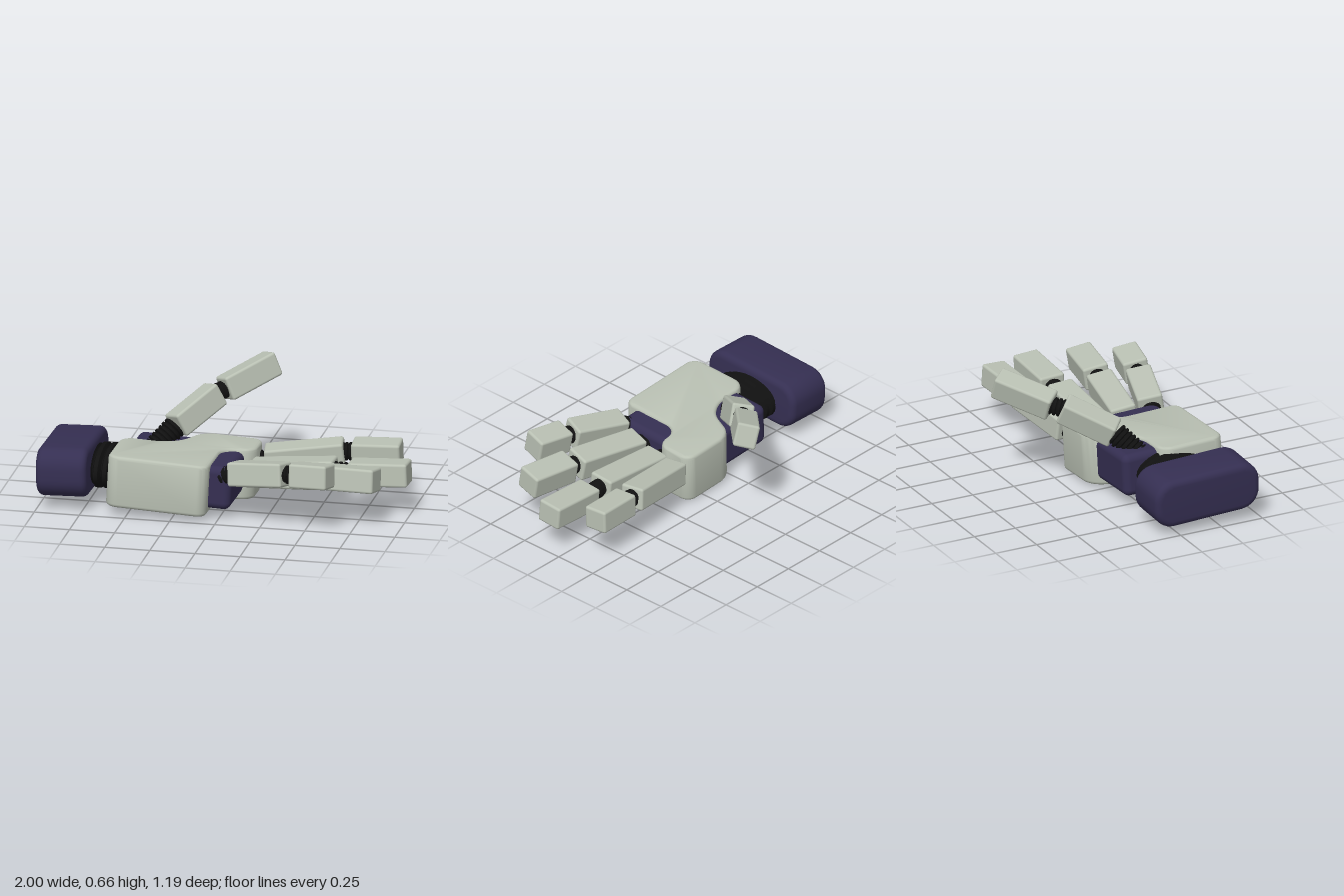
import * as THREE from 'three';
import { toCreasedNormals } from 'three/addons/utils/BufferGeometryUtils.js';
import { RoundedBoxGeometry } from 'three/addons/geometries/RoundedBoxGeometry.js';

const shell = new THREE.MeshStandardMaterial({ color: 0xb9c0b3 });
const navy = new THREE.MeshStandardMaterial({ color: 0x352f52 });
const rubber = new THREE.MeshStandardMaterial({ color: 0x111111, side: THREE.DoubleSide });

const V = (p) => new THREE.Vector3(...p);

function add(parent, name, geometry, material) {
  const mesh = new THREE.Mesh(geometry, material);
  mesh.name = name;
  parent.add(mesh);
  return mesh;
}

// Closed outline with rounded corners; each point is [x, y, radius]
function roundedOutline(points) {
  const shape = new THREE.Shape();
  const n = points.length;
  points.forEach(([x, y, r], i) => {
    const towards = ([px, py]) => {
      const d = Math.hypot(px - x, py - y);
      return [x + ((px - x) * r) / d, y + ((py - y) * r) / d];
    };
    const a = towards(points[(i + n - 1) % n]);
    const b = towards(points[(i + 1) % n]);
    if (i === 0) shape.moveTo(...a);
    else shape.lineTo(...a);
    // Cubic handles approximate a circular corner
    const k = 0.55;
    shape.bezierCurveTo(
      a[0] + (x - a[0]) * k, a[1] + (y - a[1]) * k,
      b[0] + (x - b[0]) * k, b[1] + (y - b[1]) * k, ...b);
  });
  shape.closePath();
  return shape;
}

// Extrusion of total thickness t, with rounded rims inside the outline
function slab(shape, t, bevel) {
  const geo = new THREE.ExtrudeGeometry(shape, {
    depth: t - 2 * bevel, bevelThickness: bevel, bevelSize: bevel, bevelOffset: -bevel,
    bevelSegments: 4, curveSegments: 8,
  });
  return toCreasedNormals(geo.translate(0, 0, bevel), 0.6);
}

// Rounded box running from a to b, rolled about its own axis
function segment(parent, name, a, b, w, h, roll) {
  const dir = V(b).sub(V(a));
  const length = dir.length();
  dir.normalize();
  const side = new THREE.Vector3().crossVectors(dir, new THREE.Vector3(0, 1, 0)).normalize();
  const up = new THREE.Vector3().crossVectors(side, dir);
  const mesh = add(parent, name, new RoundedBoxGeometry(length, h, w, 3, 0.014), shell);
  mesh.quaternion.setFromRotationMatrix(new THREE.Matrix4().makeBasis(dir, up, side));
  mesh.rotateX(roll);
  mesh.position.copy(V(a).add(V(b)).multiplyScalar(0.5));
}

// Ribbed flexible sleeve from a to b
function bellows(parent, name, a, b, r, ribs) {
  const dir = V(b).sub(V(a));
  const length = dir.length();
  const profile = [new THREE.Vector2(0, 0)];
  for (let i = 0; i < ribs; i++) {
    [[0, 0.82], [0.25, 1], [0.7, 1], [0.95, 0.82]].forEach(([t, s]) =>
      profile.push(new THREE.Vector2(r * s, ((i + t) / ribs) * length)));
  }
  profile.push(new THREE.Vector2(0, length));
  const geo = toCreasedNormals(new THREE.LatheGeometry(profile, 28), 0.5);
  const mesh = add(parent, name, geo, rubber);
  mesh.quaternion.setFromUnitVectors(new THREE.Vector3(0, 1, 0), dir.normalize());
  mesh.position.copy(V(a));
  return mesh;
}

// Two-segment digit: root in the palm, then start and end of each segment
function digit(parent, name, root, a, b, c, d, w, h, roll, rootRadius) {
  const group = new THREE.Group();
  group.name = name;
  parent.add(group);
  const rootLength = V(root).distanceTo(V(a));
  bellows(group, 'knuckleSleeve', root, a, rootRadius, Math.max(3, Math.round(rootLength / 0.025)));
  segment(group, 'innerSegment', a, b, w, h, roll);
  const mid = V(b).add(V(c)).multiplyScalar(0.5);
  const reach = V(c).sub(V(b)).normalize().multiplyScalar(V(b).distanceTo(V(c)) / 2 + 0.02);
  bellows(group, 'jointSleeve', mid.clone().sub(reach).toArray(), mid.clone().add(reach).toArray(), 0.05, 4);
  segment(group, 'outerSegment', c, d, w, h, roll);
}

export function createModel() {
  const hand = new THREE.Group();
  hand.name = 'mechanicalHand';

  // Palm: light shell wrapped around a dark core, slightly tilted
  const palm = new THREE.Group();
  palm.name = 'palm';
  palm.position.y = 0.01;
  palm.rotation.set(-0.03, 0, -0.05);
  hand.add(palm);
  const outline = roundedOutline([
    [-0.62, 0.1, 0.08], [-0.62, 0.485, 0.07], [-0.06, 0.485, 0.055], [-0.06, 0.09, 0.09],
    [0.12, 0.09, 0.085], [0.12, -0.15, 0.06], [-0.22, -0.15, 0.08], [-0.33, 0.1, 0.11],
  ]);
  const height = 0.288;
  add(palm, 'palmShell', slab(outline, height, 0.02).rotateX(Math.PI / 2).translate(0, height, 0), shell);
  add(palm, 'palmCore', new RoundedBoxGeometry(0.62, 0.24, 0.515, 4, 0.04), navy)
    .position.set(-0.25, 0.152, 0.155);

  // Wrist cuff with a rounded oblong section
  const w = 0.317, h = 0.137, r = 0.11;
  const section = roundedOutline([[-w, -h, r], [w, -h, r], [w, h, r], [-w, h, r]]);
  const cuff = add(hand, 'wristCuff',
    slab(section, 0.28, 0.035).translate(0, 0, -0.14).rotateY(Math.PI / 2), navy);
  cuff.position.set(-0.86, 0.2, 0.172);
  cuff.rotation.set(-0.04, 0, 0.03);

  // Wide oval wrist sleeve
  const wrist = new THREE.Group();
  wrist.name = 'wrist';
  wrist.position.set(-0.76, 0.188, 0.17);
  wrist.scale.set(1, 0.113, 0.207);
  hand.add(wrist);
  bellows(wrist, 'wristSleeve', [0, 0, 0], [0.24, 0, 0], 1, 5);

  // Fingers
  digit(hand, 'indexFinger', [0.08, 0.18, -0.07], [0.155, 0.2, -0.088], [0.58, 0.25, -0.15],
    [0.625, 0.25, -0.155], [0.893, 0.257, -0.167], 0.14, 0.13, 0.05, 0.05);
  digit(hand, 'middleFinger', [0.03, 0.17, 0.083], [0.118, 0.18, 0.083], [0.582, 0.218, 0.083],
    [0.66, 0.214, 0.083], [0.99, 0.23, 0.085], 0.148, 0.13, -0.06, 0.05);
  digit(hand, 'ringFinger', [0.03, 0.195, 0.22], [0.107, 0.215, 0.235], [0.535, 0.25, 0.305],
    [0.575, 0.257, 0.31], [0.868, 0.266, 0.352], 0.145, 0.132, -0.17, 0.05);
  digit(hand, 'littleFinger', [0.01, 0.23, 0.36], [0.075, 0.262, 0.38], [0.39, 0.306, 0.47],
    [0.43, 0.312, 0.477], [0.645, 0.325, 0.517], 0.14, 0.132, -0.17, 0.05);

  // Thumb, raised and swung to the back
  digit(hand, 'thumb', [-0.44, 0.25, 0.04], [-0.335, 0.36, -0.055], [-0.16, 0.485, -0.285],
    [-0.125, 0.495, -0.33], [0.1, 0.59, -0.555], 0.125, 0.135, -0.24, 0.065);

  return hand;
}
